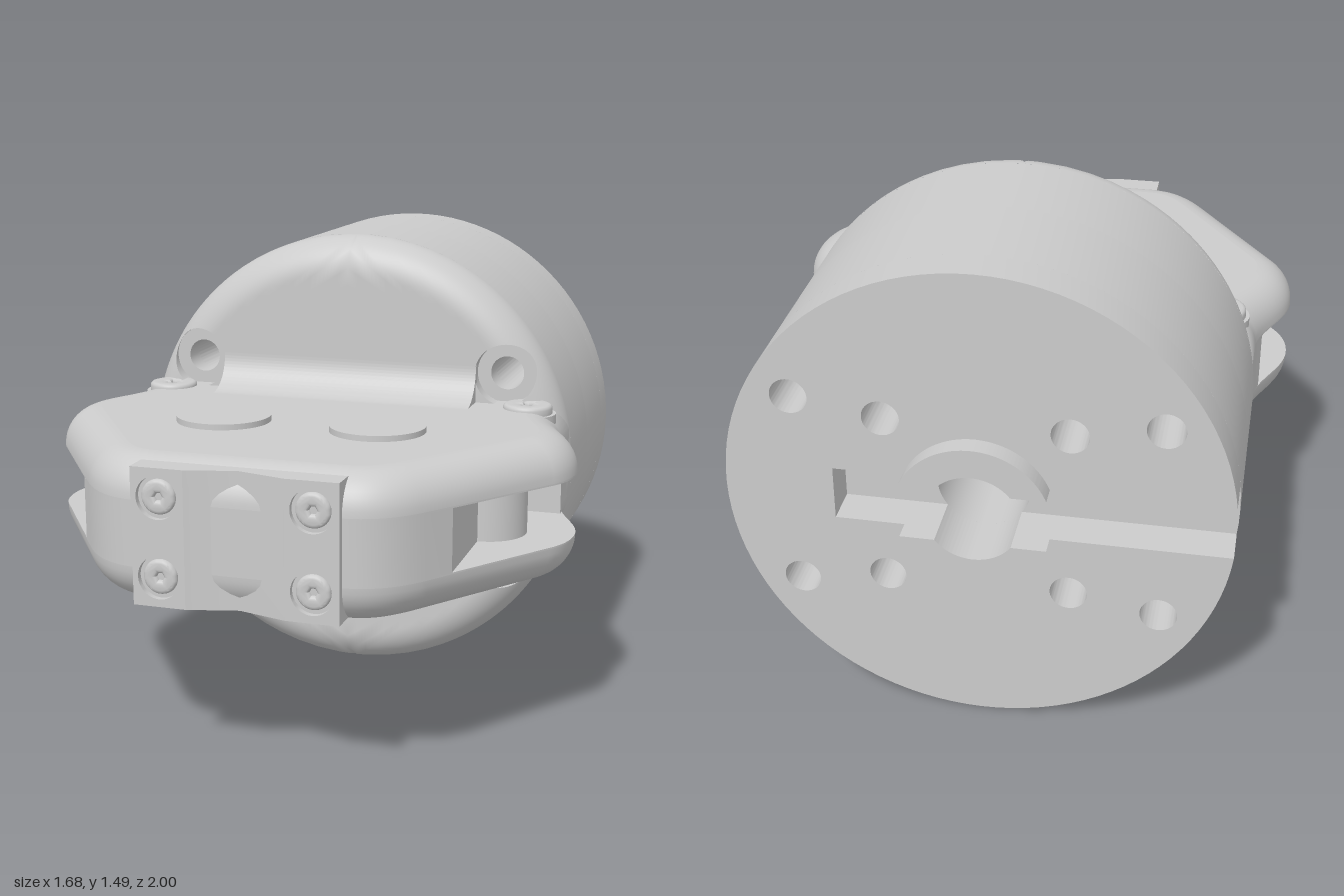
import * as THREE from 'three';
import { toCreasedNormals } from 'three/addons/utils/BufferGeometryUtils.js';

const mat = new THREE.MeshStandardMaterial({ color: 0xcccccc });
const thin = new THREE.MeshStandardMaterial({ color: 0xcccccc, side: THREE.DoubleSide });
const R = 0.745, EDGE = 0.12, FACE = -0.06; // body radius, front rounding, front face z
const HX = 0.535, HY = 0.315, HOLE = 0.055, BORE = 0.14, SLOT = 0.085;

const V = (x, y) => new THREE.Vector2(x, y);
const circle = (x, y, r, T = THREE.Path) => new T().absarc(x, y, r, 0, Math.PI * 2, false);

function add(parent, name, geo, x = 0, y = 0, z = 0, material = mat) {
  const m = new THREE.Mesh(geo, material);
  m.name = name;
  m.position.set(x, y, z);
  parent.add(m);
  return m;
}
function extrude(shape, depth, opts = {}) {
  const g = new THREE.ExtrudeGeometry(shape, { depth, bevelEnabled: false, curveSegments: 48, ...opts });
  return toCreasedNormals(g, 0.6);
}
// Plan outline in (x, z), extruded downwards from y = 0
const slab = (pts, h) => extrude(new THREE.Shape(pts), h).rotateX(Math.PI / 2);

function surface(pos, idx, nrm) {
  const g = new THREE.BufferGeometry();
  g.setAttribute('position', new THREE.Float32BufferAttribute(pos, 3));
  g.setIndex(idx);
  if (nrm) g.setAttribute('normal', new THREE.Float32BufferAttribute(nrm, 3));
  else g.computeVertexNormals();
  return g;
}

// Round screw head facing +z with a six-sided or six-lobed socket
function screw(parent, name, r, lobed) {
  const g = new THREE.Group();
  g.name = name;
  const s = circle(0, 0, r - 0.012, THREE.Shape);
  const n = lobed ? 48 : 6, pts = [];
  for (let i = 0; i < n; i++) {
    const a = i / n * Math.PI * 2, q = r * (lobed ? 0.47 + 0.1 * Math.cos(6 * a) : 0.5);
    pts.push(V(q * Math.cos(a), q * Math.sin(a)));
  }
  s.holes.push(new THREE.Path(pts));
  add(g, 'screwHead', extrude(s, 0.03, { bevelEnabled: true, bevelSize: 0.012, bevelThickness: 0.012, bevelSegments: 3, curveSegments: 20 }), 0, 0, -0.042);
  add(g, 'socketFloor', new THREE.CircleGeometry(r * 0.8, 24), 0, 0, -0.03);
  parent.add(g);
  return g;
}

// Quarter of the rounded front face, fanned out around its counterbored bolt hole
function frontQuarter() {
  const g = new THREE.Group();
  const angles = [[0, 0], [0, R], [R, 0]].map(([x, y]) => Math.atan2(y - HY, x - HX));
  for (let i = 0; i < 80; i++) angles.push(-Math.PI + i / 80 * Math.PI * 2);
  angles.sort((a, b) => a - b);
  const n = angles.length, steps = 28, pos = [], nrm = [], idx = [], wall = [], wIdx = [];
  for (let s = 0; s <= steps; s++) {
    const t = 1 - (1 - s / steps) ** 2;
    angles.forEach((a, i) => {
      const dx = Math.cos(a), dy = Math.sin(a), b = HX * dx + HY * dy;
      let far = -b + Math.sqrt(b * b - HX * HX - HY * HY + R * R);
      if (dx < 0) far = Math.min(far, HX / -dx);
      if (dy < 0) far = Math.min(far, HY / -dy);
      const d = 0.1 + (far - 0.1) * t, x = HX + dx * d, y = HY + dy * d, r = Math.hypot(x, y);
      const k = Math.min(1, Math.max(0, (r - R + EDGE) / EDGE)), c = Math.sqrt(1 - k * k);
      const z = FACE - EDGE + EDGE * c;
      pos.push(x, y, z);
      nrm.push(r ? x / r * k : 0, r ? y / r * k : 0, c);
      const p = s * n + i, q = s * n + (i + 1) % n;
      if (s < steps) idx.push(p, p + n, q, q, p + n, q + n);
      if (s === 0) {
        wall.push(x, y, z, x, y, -0.11);
        const u = 2 * i, v = 2 * ((i + 1) % n);
        wIdx.push(u, v, u + 1, v, v + 1, u + 1);
      }
    });
  }
  add(g, 'frontFace', surface(pos, idx, nrm));
  add(g, 'counterboreWall', surface(wall, wIdx), 0, 0, 0, thin);
  add(g, 'counterboreFloor', new THREE.RingGeometry(HOLE, 0.1, 48), HX, HY, -0.11);
  add(g, 'boltHole', new THREE.CylinderGeometry(HOLE, HOLE, 0.08, 48, 1, true).rotateX(Math.PI / 2), HX, HY, -0.15, thin);
  return g;
}

// Move a closed outline inwards along its normals
function inset(pts, d) {
  const n = pts.length;
  return pts.map((p, i) => {
    const a = p.clone().sub(pts[(i + n - 1) % n]).normalize();
    const t = pts[(i + 1) % n].clone().sub(p).normalize().add(a).normalize();
    return V(p.x - t.y * d, p.y + t.x * d);
  });
}
function roundedRim(pts, y0, r) {
  const n = pts.length, rows = 10, pos = [], idx = [];
  for (let j = 0; j <= rows; j++) {
    const a = j / rows * Math.PI / 2;
    inset(pts, r * (1 - Math.cos(a))).forEach((p, i) => {
      pos.push(p.x, y0 + r * Math.sin(a), p.y);
      const u = j * n + i, v = j * n + (i + 1) % n;
      if (j < rows) idx.push(u, u + n, v, v, u + n, v + n);
    });
  }
  return surface(pos, idx);
}

export function createModel() {
  const root = new THREE.Group();
  root.name = 'gripperHead';
  const model = new THREE.Group(); // everything is centred on the body axis
  model.name = 'assembly';
  model.position.y = R;
  root.add(model);
  const signs = [[1, 1], [-1, 1], [1, -1], [-1, -1]];

  // Round body in layers: slotted back, bored middle, plain front
  const rimA = Math.asin(SLOT / R), boreA = Math.asin(SLOT / BORE);
  const back = new THREE.Shape();
  back.absarc(0, 0, R, -Math.PI + rimA, Math.PI - rimA, false);
  back.absarc(0, 0, BORE, Math.PI - boreA, boreA, true);
  back.lineTo(0.42, SLOT);
  back.lineTo(0.42, -SLOT);
  back.absarc(0, 0, BORE, -boreA, -Math.PI + boreA, true);
  const middle = circle(0, 0, R, THREE.Shape), front = circle(0, 0, R, THREE.Shape);
  middle.holes.push(circle(0, 0, BORE));
  for (const [sx, sy] of signs) {
    for (const s of [back, middle, front]) s.holes.push(circle(sx * HX, sy * HY, HOLE));
    for (const s of [back, middle]) s.holes.push(circle(sx * 0.27, sy * 0.27, HOLE));
  }
  add(model, 'bodyBack', extrude(back, 0.12), 0, 0, -0.94);
  add(model, 'bodyMiddle', extrude(middle, 0.32), 0, 0, -0.82);
  add(model, 'bodyFront', extrude(front, 0.32), 0, 0, -0.5);
  for (const [sx, sy] of signs) {
    const q = frontQuarter();
    q.name = 'frontQuarter';
    q.scale.set(sx, sy, 1);
    model.add(q);
  }

  // Split locating ring on the back
  const ringA = Math.asin(SLOT / 0.23);
  const half = new THREE.Shape();
  half.absarc(0, 0, 0.23, ringA, Math.PI - ringA, false);
  half.absarc(0, 0, BORE, Math.PI - boreA, boreA, true);
  for (const turn of [0, Math.PI]) add(model, 'locatingRing', extrude(half, 0.06), 0, 0, -1).rotation.z = turn;

  // Plan outline of the head
  const side = new THREE.Path();
  side.moveTo(0.735, -0.3);
  side.lineTo(0.737, -0.03);
  side.bezierCurveTo(0.75, 0.1, 0.84, 0.18, 0.838, 0.3);
  side.bezierCurveTo(0.838, 0.36, 0.82, 0.41, 0.79, 0.45);
  side.lineTo(0.52, 0.84);
  side.bezierCurveTo(0.45, 0.94, 0.38, 0.98, 0.28, 0.98);
  const right = side.getPoints(14);
  const mirrored = (pts) => [...pts, ...pts.map((p) => V(-p.x, p.y)).reverse()];
  const outline = mirrored(right);
  const core = mirrored([...right.filter((p) => p.y < 0.07), V(0.755, 0.075), V(0.57, 0.075),
    V(0.57, 0.768), ...right.filter((p) => p.y > 0.77)]);
  add(model, 'headCore', slab(core, 0.19), 0, 0.095, 0);

  // Upper and lower halves of the head
  for (const s of [1, -1]) {
    const g = new THREE.Group();
    g.name = s > 0 ? 'upperHead' : 'lowerHead';
    g.scale.y = s;
    model.add(g);
    add(g, 'jawPlate', slab(outline, 0.005), 0, 0.1, 0);
    add(g, 'roundedEdge', roundedRim(outline, 0.1, 0.12));
    add(g, 'flatTop', slab(inset(outline, 0.12), 0.11), 0, 0.22, 0);
    // Hollow blend between head and body
    const fillet = new THREE.Shape();
    fillet.moveTo(-0.08, 0.2);
    fillet.lineTo(0.06, 0.2);
    fillet.absarc(0.06, 0.34, 0.12, -Math.PI / 2, -Math.PI, true);
    fillet.lineTo(-0.08, 0.34);
    add(g, 'blend', extrude(fillet, 0.88).rotateY(-Math.PI / 2), 0.44, 0, 0);
    for (const x of [-1, 1]) {
      add(g, 'screwSeat', new THREE.CylinderGeometry(0.092, 0.092, 0.06, 40), x * 0.62, 0.175, -0.03);
      const sc = screw(g, 'neckScrew', 0.08, true);
      sc.rotation.x = -Math.PI / 2;
      sc.position.set(x * 0.62, 0.235, -0.03);
    }
  }

  // Pivot pins in the side slots and round pads through the head
  for (const x of [-1, 1]) {
    add(model, 'pivotPin', new THREE.CylinderGeometry(0.125, 0.125, 0.19, 48), x * 0.57, 0, 0.325);
    add(model, 'pad', new THREE.CylinderGeometry(0.148, 0.148, 0.476, 64), x * 0.25, 0, 0.43);
  }

  // Nose plate with a shallow V groove and four socket screws
  const plate = new THREE.Group();
  plate.name = 'nosePlate';
  model.add(plate);
  add(plate, 'groove', slab([V(-0.15, 0.92), V(0.15, 0.92), V(0.15, 1), V(0, 0.96), V(-0.15, 1)], 0.41), 0, 0.205, 0);
  for (const x of [-1, 1]) {
    const b = new THREE.Shape([V(-0.08, -0.205), V(0.08, -0.205), V(0.08, 0.205), V(-0.08, 0.205)]);
    for (const y of [-0.118, 0.118]) {
      b.holes.push(circle(0, y, 0.064));
      screw(plate, 'noseScrew', 0.052, false).position.set(x * 0.23, y, 0.995);
      add(plate, 'screwRecess', new THREE.CircleGeometry(0.066, 32), x * 0.23, y, 0.982);
    }
    add(plate, 'plateSide', extrude(b, 0.08, { curveSegments: 24 }), x * 0.23, 0, 0.92);
  }
  return root;
}
